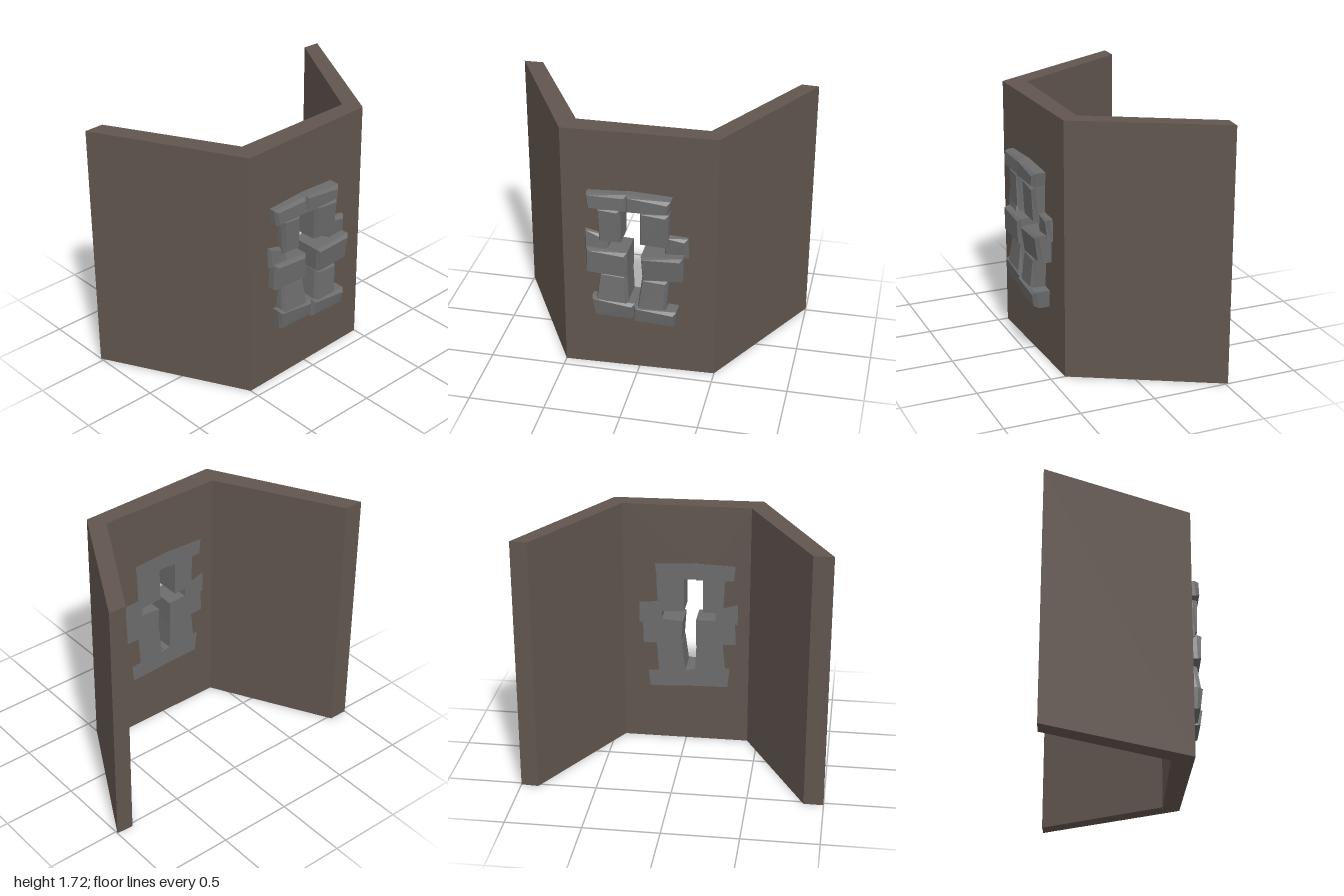
import * as THREE from 'three';

const HEIGHT = 1.72;
const BACK = 0.285;
const wallBrown = new THREE.MeshStandardMaterial({ color: 0x62564f });
const stoneGrey = new THREE.MeshStandardMaterial({ color: 0x6c6c6c });

const points = list => list.map(([x, y]) => new THREE.Vector2(x, y));

function addMesh(parent, name, geometry, material) {
  const mesh = new THREE.Mesh(geometry, material);
  mesh.name = name;
  parent.add(mesh);
}

// Angled side wall: plan corners [x, z] raised to full height
function wingGeometry(plan) {
  const shape = new THREE.Shape(points(plan.map(([x, z]) => [x, -z])));
  return new THREE.ExtrudeGeometry(shape, { depth: HEIGHT, bevelEnabled: false })
    .rotateX(-Math.PI / 2);
}

// Centre wall with a cross-shaped opening, mitred at both ends
function panelGeometry() {
  const shape = new THREE.Shape(points([[-0.5, 0], [0.5, 0], [0.5, HEIGHT], [-0.5, HEIGHT]]));
  shape.holes.push(new THREE.Path(points([
    [-0.1, 0.49], [0.06, 0.49], [0.06, 0.87], [0.2, 0.87], [0.2, 1], [0.06, 1],
    [0.06, 1.23], [-0.15, 1.23], [-0.15, 1], [-0.24, 1], [-0.24, 0.87], [-0.1, 0.87],
  ])));
  const geometry = new THREE.ExtrudeGeometry(shape, { depth: 1, bevelEnabled: false });
  const p = geometry.attributes.position;
  for (let i = 0; i < p.count; i++) {
    const x = p.getX(i);
    if (p.getZ(i) > 0.5) p.setZ(i, 0.415 - 0.03 * x);
    else {
      p.setZ(i, BACK);
      if (Math.abs(x) > 0.49) p.setX(i, Math.sign(x) * 0.43);
    }
  }
  geometry.computeVertexNormals();
  return geometry;
}

// Rough-cut block: four corners (counter-clockwise), front depth at bottom and top, worn front edge
function stoneGeometry(corners, zBottom, zTop) {
  const cx = corners.reduce((s, c) => s + c[0], 0) / 4;
  const cy = corners.reduce((s, c) => s + c[1], 0) / 4;
  const front = i => (i < 2 ? zBottom : zTop);
  const inset = (c, d) => [c[0] - Math.sign(c[0] - cx) * d, c[1] - Math.sign(c[1] - cy) * d];
  const rings = [
    corners.map(c => [...c, BACK - 0.002]),
    corners.map((c, i) => [...c, front(i) - 0.022 - 0.008 * (i % 2)]),
    corners.map((c, i) => [...inset(c, 0.01 + 0.005 * (i % 3)), front(i)]),
  ];
  const out = [];
  const quad = (a, b, c, d) => out.push(...a, ...b, ...c, ...a, ...c, ...d);
  for (let r = 0; r < 2; r++) {
    for (let i = 0; i < 4; i++) {
      const j = (i + 1) % 4;
      quad(rings[r][i], rings[r][j], rings[r + 1][j], rings[r + 1][i]);
    }
  }
  quad(...rings[2]);
  quad(...rings[0].slice().reverse());
  const geometry = new THREE.BufferGeometry();
  geometry.setAttribute('position', new THREE.Float32BufferAttribute(out, 3));
  geometry.computeVertexNormals();
  return geometry;
}

export function createModel() {
  const group = new THREE.Group();
  group.name = 'wallWithStoneWindow';

  // Walls
  addMesh(group, 'centreWall', panelGeometry(), wallBrown);
  addMesh(group, 'rightWall',
    wingGeometry([[-1, -0.525], [-0.87, -0.525], [-0.43, BACK], [-0.5, 0.43]]), wallBrown);
  addMesh(group, 'leftWall',
    wingGeometry([[1, -0.518], [0.885, -0.525], [0.43, BACK], [0.5, 0.4]]), wallBrown);

  // Stone surround: name, corners, front depth at bottom and top
  const stones = [
    ['lintelRight', [[-0.32, 1.2], [-0.065, 1.195], [-0.065, 1.315], [-0.33, 1.305]], 0.495, 0.49],
    ['lintelLeft', [[-0.07, 1.2], [0.2, 1.2], [0.215, 1.3], [-0.07, 1.318]], 0.5, 0.5],
    ['upperJambRight', [[-0.25, 0.965], [-0.112, 0.958], [-0.11, 1.205], [-0.26, 1.205]], 0.48, 0.485],
    ['upperJambLeft', [[0.015, 0.968], [0.195, 0.955], [0.205, 1.205], [0.018, 1.21]], 0.485, 0.498],
    ['armEndRight', [[-0.35, 0.885], [-0.195, 0.885], [-0.2, 0.985], [-0.35, 1.03]], 0.46, 0.45],
    ['armEndLeft', [[0.17, 0.875], [0.325, 0.87], [0.32, 1.02], [0.165, 1.03]], 0.44, 0.45],
    ['middleRight', [[-0.34, 0.735], [-0.065, 0.715], [-0.065, 0.9], [-0.33, 0.91]], 0.495, 0.5],
    ['middleLeft', [[0.035, 0.715], [0.295, 0.72], [0.3, 0.91], [0.025, 0.89]], 0.495, 0.515],
    ['lowerJambRight', [[-0.27, 0.53], [-0.06, 0.52], [-0.07, 0.73], [-0.25, 0.73]], 0.5, 0.475],
    ['lowerJambLeft', [[0.005, 0.505], [0.19, 0.505], [0.205, 0.725], [0.03, 0.725]], 0.51, 0.495],
    ['sillRight', [[-0.285, 0.41], [-0.02, 0.405], [-0.015, 0.53], [-0.3, 0.555]], 0.49, 0.505],
    ['sillLeft', [[-0.025, 0.405], [0.25, 0.392], [0.262, 0.51], [-0.015, 0.525]], 0.51, 0.525],
  ];
  const surround = new THREE.Group();
  surround.name = 'stoneSurround';
  for (const [name, corners, zBottom, zTop] of stones) {
    addMesh(surround, name, stoneGeometry(corners, zBottom, zTop), stoneGrey);
  }
  group.add(surround);
  return group;
}
